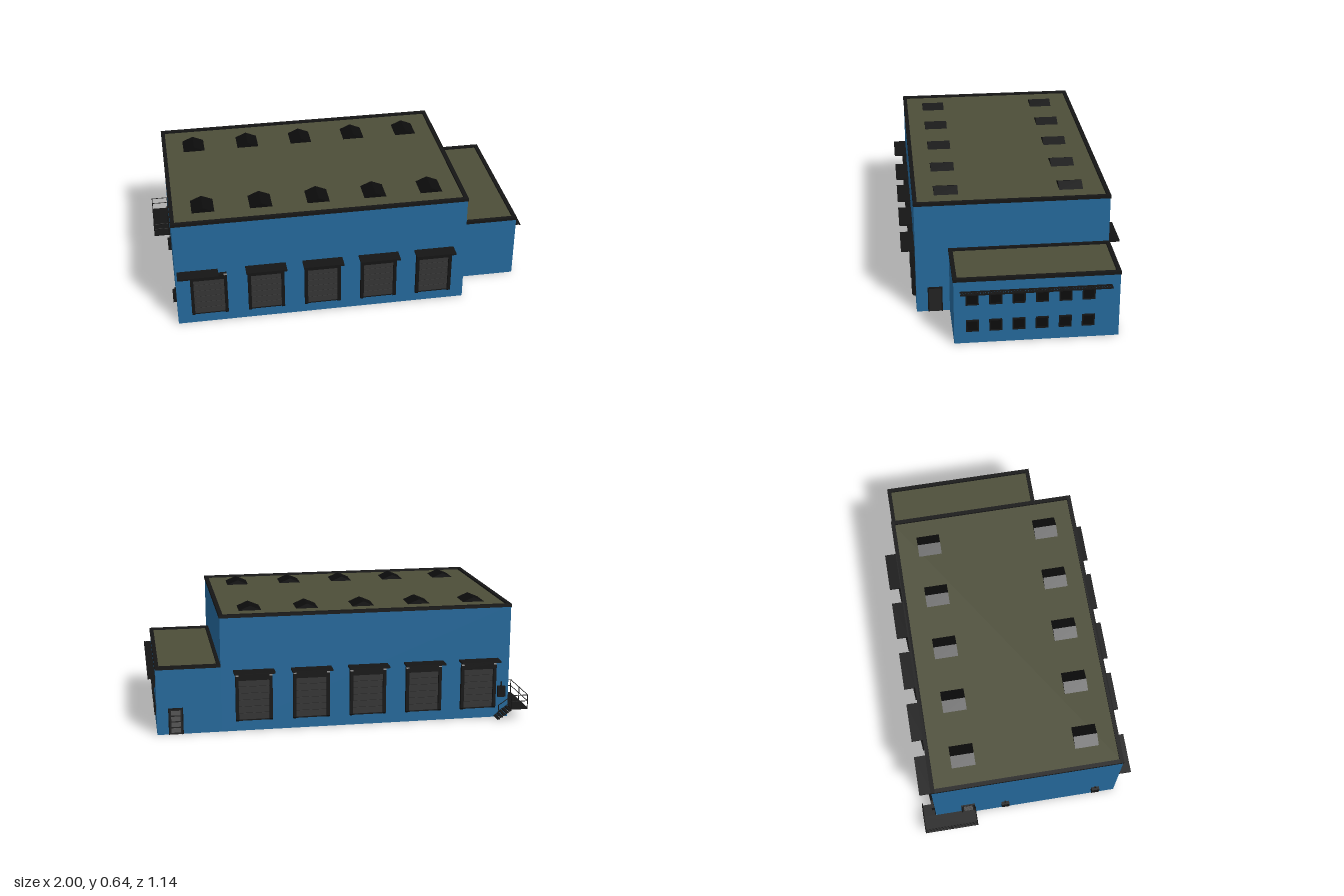
import * as THREE from 'three';

const mat = (color, side = THREE.FrontSide) => new THREE.MeshStandardMaterial({ color, side });

export function createModel() {
  const root = new THREE.Group();
  root.name = 'warehouse';
  const blue = mat(0x24689a, THREE.DoubleSide);
  const olive = mat(0x4c4d38, THREE.DoubleSide);
  const black = mat(0x151515);
  const dark = mat(0x222222);
  const shutter = mat(0x343434);
  const glass = mat(0x0c0c0c);
  const grey = mat(0x555555);

  const add = (parent, name, geometry, material) => {
    const m = new THREE.Mesh(geometry, material);
    m.name = name;
    parent.add(m);
    return m;
  };
  // Box given by its minimum and maximum on each axis
  const box = (parent, name, x0, x1, y0, y1, z0, z1, material) => {
    const m = add(parent, name, new THREE.BoxGeometry(x1 - x0, y1 - y0, z1 - z0), material);
    m.position.set((x0 + x1) / 2, (y0 + y1) / 2, (z0 + z1) / 2);
    return m;
  };
  const group = (parent, name, x = 0, y = 0, z = 0, ry = 0) => {
    const g = new THREE.Group();
    g.name = name;
    g.position.set(x, y, z);
    g.rotation.y = ry;
    parent.add(g);
    return g;
  };
  // Round bar between two points
  const bar = (parent, name, a, b, r = 0.002) => {
    const path = new THREE.LineCurve3(new THREE.Vector3(...a), new THREE.Vector3(...b));
    return add(parent, name, new THREE.TubeGeometry(path, 1, r, 6), black);
  };

  // Open-bottomed block: thin walls, flat roof and a parapet trim
  const building = (name, x0, x1, z0, z1, h, sides) => {
    const g = group(root, name);
    const w = x1 - x0, d = z1 - z0, cx = (x0 + x1) / 2, cz = (z0 + z1) / 2;
    const wall = (len, x, z, ry) => {
      const m = add(g, 'wall', new THREE.PlaneGeometry(len, h), blue);
      m.position.set(x, h / 2, z);
      m.rotation.y = ry;
    };
    wall(w, cx, z1, 0);
    wall(w, cx, z0, Math.PI);
    wall(d, x1, cz, Math.PI / 2);
    if (sides === 4) wall(d, x0, cz, -Math.PI / 2);
    const roof = add(g, 'roof', new THREE.PlaneGeometry(w, d), olive);
    roof.position.set(cx, h - 0.004, cz);
    roof.rotation.x = -Math.PI / 2;
    const t = 0.018, e = 0.003, y0 = h - 0.01, y1 = h + 0.006;
    const ox = sides === 4 ? e : 0;
    box(g, 'parapetFront', x0 - ox, x1 + e, y0, y1, z1 - t, z1 + e, black);
    box(g, 'parapetBack', x0 - ox, x1 + e, y0, y1, z0 - e, z0 + t, black);
    box(g, 'parapetRight', x1 - t, x1 + e, y0, y1, z0 + t, z1 - t, black);
    box(g, 'parapetLeft', x0 - ox, x0 + t, y0, y1, z0 + t, z1 - t, black);
  };
  building('mainHall', -0.91, 0.63, -0.5, 0.5, 0.615, 4);
  building('officeAnnex', 0.63, 0.962, -0.5, 0.328, 0.357, 3);

  const bays = [-0.74, -0.44, -0.14, 0.16, 0.46];

  // Gabled skylights, ridge running front to back
  const gable = new THREE.Shape([[-0.063, 0], [0.063, 0], [0, 0.027]].map(p => new THREE.Vector2(...p)));
  const gableGeo = new THREE.ExtrudeGeometry(gable, { depth: 0.124, bevelEnabled: false });
  gableGeo.translate(0, 0, -0.062);
  for (const x of bays) for (const z of [-0.315, 0.33])
    add(root, 'skylight', gableGeo, glass).position.set(x, 0.609, z);

  // Loading bay, built facing +z with the wall at z = 0
  const postShape = new THREE.Shape([[-0.004, 0.055], [0.012, 0.055], [0.021, 0.066], [0.021, 0.298],
    [0.015, 0.305], [-0.004, 0.305]].map(p => new THREE.Vector2(...p)));
  const postGeo = new THREE.ExtrudeGeometry(postShape, { depth: 0.016, bevelEnabled: false });
  postGeo.rotateY(-Math.PI / 2);
  const loadingBay = (x, z, ry, canopyShift) => {
    const g = group(root, 'loadingBay', x, 0, z, ry);
    for (const px of [-0.08, 0.096]) add(g, 'dockSealPost', postGeo, black).position.x = px;
    box(g, 'dockSealHeader', -0.08, 0.08, 0.275, 0.305, -0.004, 0.02, black);
    box(g, 'doorSill', -0.08, 0.08, 0.055, 0.061, -0.004, 0.006, black);
    box(g, 'shutterBacking', -0.08, 0.08, 0.061, 0.275, 0.001, 0.004, dark);
    const n = 6, s = 0.214 / n;
    for (let i = 0; i < n; i++)
      box(g, 'shutterPanel', -0.08, 0.08, 0.061 + i * s + 0.0015, 0.061 + (i + 1) * s - 0.0015, 0.002, 0.007, shutter);
    box(g, 'canopy', canopyShift - 0.106, canopyShift + 0.106, 0.32, 0.329, 0, 0.07, black);
  };
  bays.forEach((x, i) => {
    loadingBay(x, 0.5, 0, i === 0 ? -0.055 : 0);
    loadingBay(x, -0.5, Math.PI, 0);
  });

  // Office windows in two rows, under a slatted sunshade
  for (let i = 0; i < 6; i++) for (const y of [0.1, 0.25]) {
    const g = group(root, 'window', 0.962, y, 0.237 - i * 0.116, Math.PI / 2);
    box(g, 'pane', -0.028, 0.028, -0.028, 0.028, 0, 0.004, glass);
    for (const s of [-1, 1]) {
      box(g, 'frameSide', s * 0.029 - 0.003, s * 0.029 + 0.003, -0.032, 0.032, 0, 0.008, black);
      box(g, 'frameRail', -0.026, 0.026, s * 0.029 - 0.003, s * 0.029 + 0.003, 0, 0.008, black);
    }
  }
  const shade = group(root, 'sunshade');
  for (const x of [0.964, 0.994]) box(shade, 'shadeRail', x, x + 0.006, 0.289, 0.295, -0.458, 0.298, black);
  for (let i = 0; i < 54; i++) {
    const z = -0.458 + i * 0.014;
    box(shade, 'shadeSlat', 0.962, 0.996, 0.29, 0.294, z, z + 0.011, black);
  }

  // Personnel doors, built facing +z with the wall at z = 0
  const door = (x, y, z, ry, glazed) => {
    const g = group(root, 'personnelDoor', x, y, z, ry);
    box(g, 'doorLeaf', -0.033, 0.033, 0, 0.135, 0, 0.004, dark);
    for (const s of [-1, 1]) box(g, 'doorJamb', s * 0.035 - 0.003, s * 0.035 + 0.003, 0, 0.141, 0, 0.008, black);
    box(g, 'doorHead', -0.032, 0.032, 0.135, 0.141, 0, 0.008, black);
    if (glazed) for (let i = 0; i < 4; i++)
      box(g, 'doorPanel', -0.024, 0.024, 0.01 + i * 0.031, 0.034 + i * 0.031, 0.002, 0.006, grey);
  };
  door(0.63, 0, 0.403, Math.PI / 2, false);
  door(0.865, 0, -0.5, Math.PI, true);
  door(-0.91, 0.064, -0.32, -Math.PI / 2, true);

  // Utility boxes with a conduit stub
  const utility = (x, y, z, ry) => {
    const g = group(root, 'utilityBox', x, y, z, ry);
    box(g, 'cabinet', -0.021, 0.021, 0, 0.058, 0, 0.018, black);
    box(g, 'conduit', -0.004, 0.004, 0.058, 0.082, 0, 0.007, black);
  };
  utility(-0.91, 0.075, -0.115, -Math.PI / 2);
  utility(-0.91, 0.075, 0.387, -Math.PI / 2);
  utility(-0.87, 0.115, -0.5, Math.PI);

  // Corner landing with steps along the back wall and railings
  const stair = group(root, 'landingAndSteps');
  box(stair, 'landing', -1, -0.91, 0.057, 0.064, -0.57, -0.28, black);
  for (let i = 0; i < 5; i++) {
    const x = -0.91 + i * 0.015, y = 0.055 - i * 0.0115;
    box(stair, 'step', x, x + 0.016, y - 0.004, y + 0.003, -0.57, -0.505, black);
  }
  for (const z of [-0.57, -0.505]) bar(stair, 'stringer', [-0.91, 0.056, z], [-0.836, 0.008, z], 0.003);
  for (const h of [0.04, 0.073]) {
    const y = 0.062 + h;
    bar(stair, 'sideRail', [-0.998, y, -0.568], [-0.998, y, -0.282]);
    bar(stair, 'endRail', [-0.998, y, -0.282], [-0.915, y, -0.282]);
    bar(stair, 'backRail', [-0.998, y, -0.568], [-0.91, y, -0.568]);
    bar(stair, 'stepRail', [-0.91, y, -0.568], [-0.838, y - 0.05, -0.568]);
  }
  const posts = [[-0.998, -0.568], [-0.998, -0.425], [-0.998, -0.282], [-0.915, -0.282], [-0.91, -0.568]];
  for (const [x, z] of posts) bar(stair, 'railPost', [x, 0.058, z], [x, 0.138, z], 0.0025);
  bar(stair, 'railPost', [-0.838, 0.01, -0.568], [-0.838, 0.087, -0.568], 0.0025);

  return root;
}
